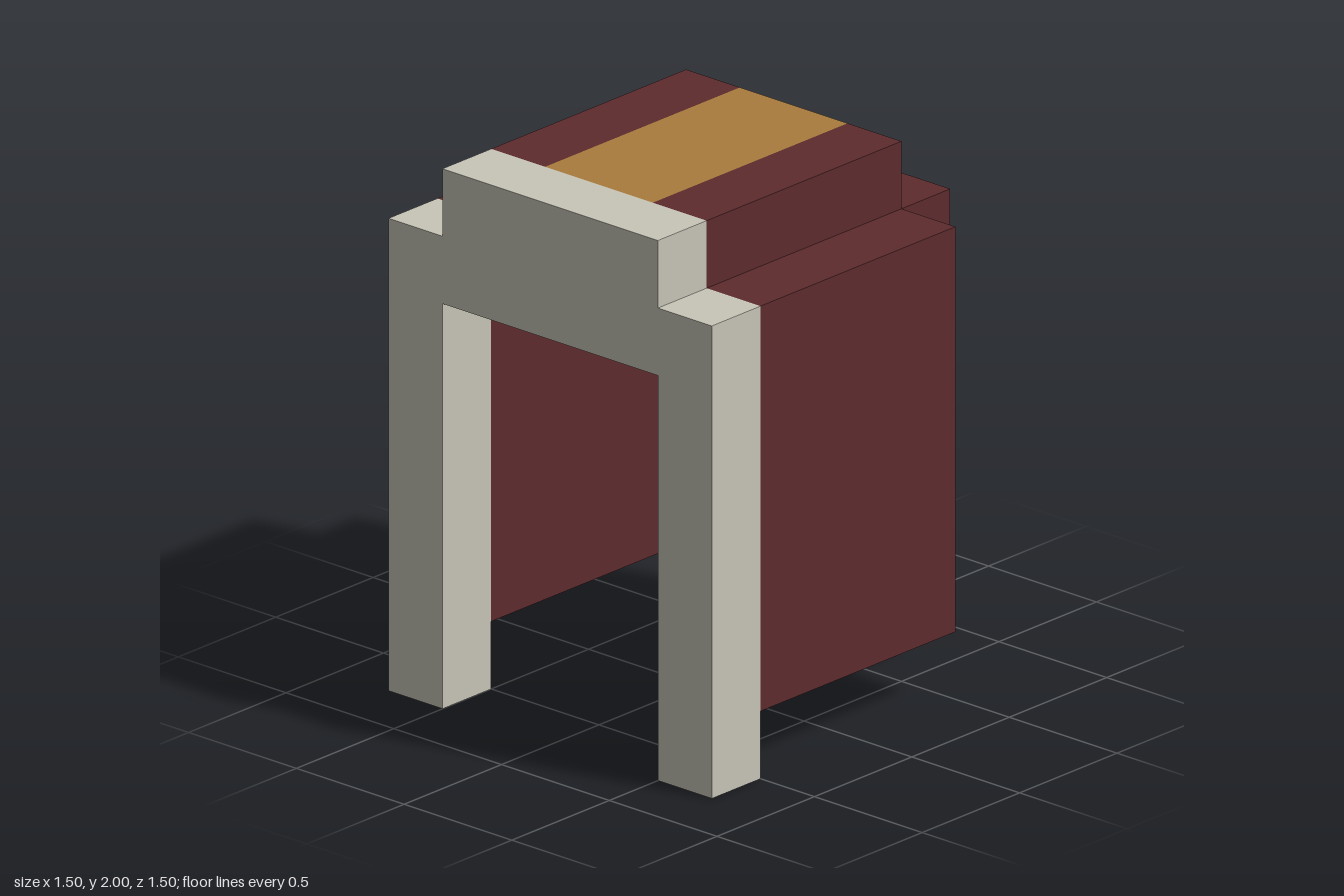
import * as THREE from 'three';

export function createModel() {
  const model = new THREE.Group();
  const bone = new THREE.MeshStandardMaterial({ color: 0xc8c5b8 });
  bone.name = 'bone';
  const maroon = new THREE.MeshStandardMaterial({ color: 0x5d2b2e });
  maroon.name = 'maroon';
  const gold = new THREE.MeshStandardMaterial({ color: 0xa97b3e });
  gold.name = 'gold';

  // Box given by its minimum and maximum corners
  function box(name, material, min, max, parent = model) {
    const size = max.map((v, i) => v - min[i]);
    const mesh = new THREE.Mesh(new THREE.BoxGeometry(...size), material);
    mesh.position.set(...max.map((v, i) => (v + min[i]) / 2));
    mesh.name = name;
    parent.add(mesh);
  }

  // Panel one unit wide with a gold centre stripe running through it
  function stripedPanel(name, y0, y1, z0, z1) {
    const panel = new THREE.Group();
    panel.name = name;
    box(name + 'RightBand', maroon, [-0.5, y0, z0], [-0.25, y1, z1], panel);
    box(name + 'Stripe', gold, [-0.25, y0, z0], [0.25, y1, z1], panel);
    box(name + 'LeftBand', maroon, [0.25, y0, z0], [0.5, y1, z1], panel);
    model.add(panel);
  }

  stripedPanel('roof', 1.75, 2, -0.5, 0.5);
  stripedPanel('backWall', 0.25, 1.75, -0.75, -0.5);

  // Side walls
  box('leftWall', maroon, [0.5, 0.25, -0.5], [0.75, 1.75, 0.5]);
  box('rightWall', maroon, [-0.75, 0.25, -0.5], [-0.5, 1.75, 0.5]);

  // Front arch: stepped frame with two long legs
  const half = [[0.5, 0], [0.75, 0], [0.75, 1.75], [0.5, 1.75], [0.5, 2]];
  const outline = [[0.5, 1.5], ...half];
  const mirrored = outline.map(([x, y]) => [-x, y]).reverse();
  const shape = new THREE.Shape([...outline, ...mirrored].map(([x, y]) => new THREE.Vector2(x, y)));
  const arch = new THREE.Mesh(
    new THREE.ExtrudeGeometry(shape, { depth: 0.25, bevelEnabled: false }), bone);
  arch.position.z = 0.5;
  arch.name = 'frontArch';
  model.add(arch);

  return model;
}
